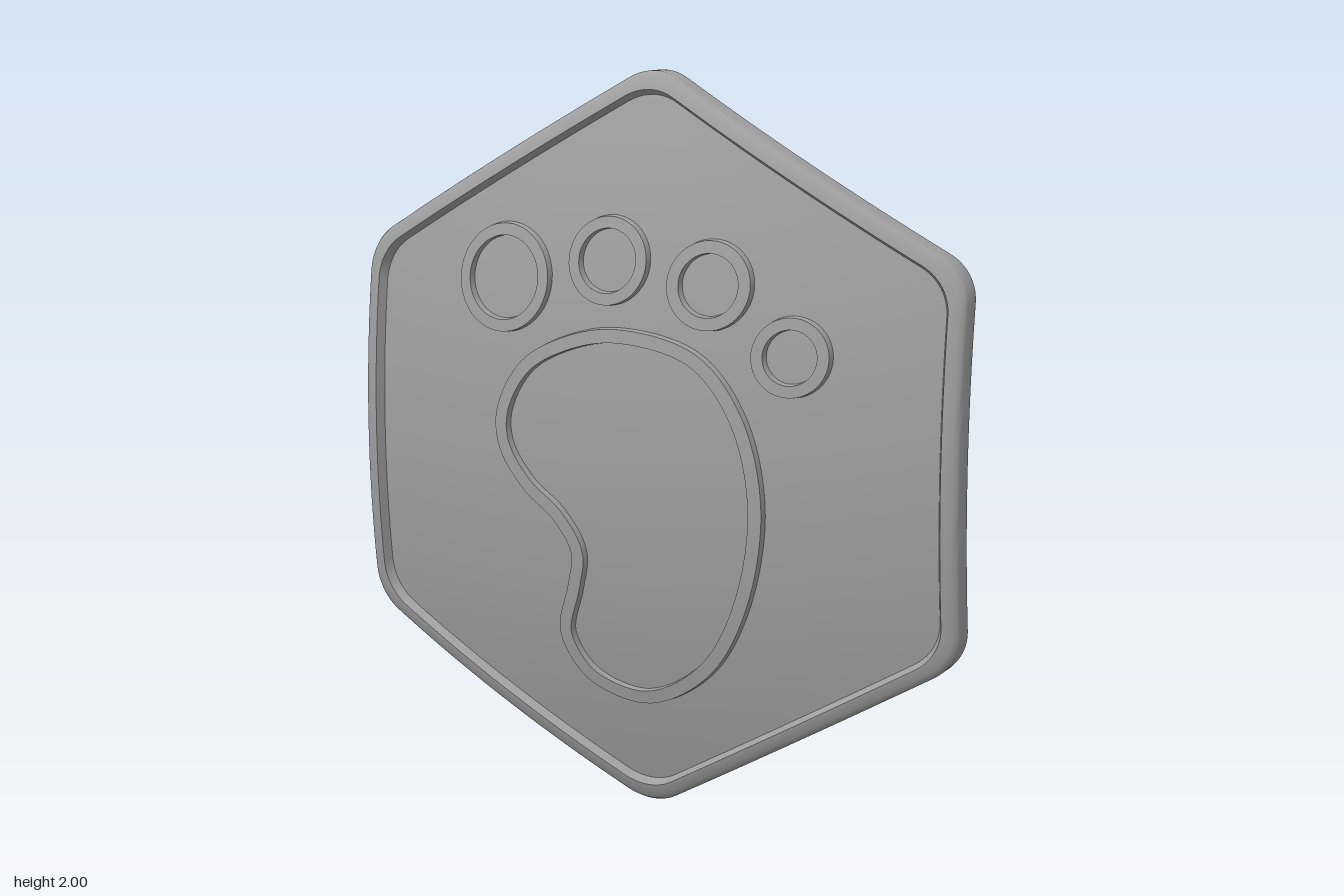
import * as THREE from 'three';
import { toCreasedNormals } from 'three/addons/utils/BufferGeometryUtils.js';

const CY = 1;        // height of the plate centre
const CURVE = 0.17;  // how strongly the plate is domed
const BACK = 0.06, PANEL = 0.103, RIM = 0.133, RAISED = 0.125;

// Put a flat point on the dome; level is its z at the plate centre
const onDome = (p, level) => [p.x, p.y + CY, level - CURVE * (p.x * p.x + p.y * p.y)];

// Rounded hexagon, counter-clockwise, scaled by s
function hexLoop(apothem, s = 1) {
  const pts = [], r = 0.14, arc = 10, side = 16;
  for (let k = 0; k < 6; k++) {
    const mid = Math.PI / 2 + k * Math.PI / 3;
    const d = (apothem - r) / Math.cos(Math.PI / 6);
    const corner = (i, a) => new THREE.Vector2(
      d * Math.cos(i) + r * Math.cos(a), d * Math.sin(i) + r * Math.sin(a));
    for (let j = 0; j < arc; j++) pts.push(corner(mid, mid - Math.PI / 6 + (j / arc) * Math.PI / 3));
    const end = mid + Math.PI / 6;
    const a = corner(mid, end), b = corner(mid + Math.PI / 3, end);
    for (let j = 0; j < side; j++) pts.push(a.clone().lerp(b, j / side));
  }
  return pts.map((p) => p.multiplyScalar(s));
}

// Skin a series of closed loops, each [points, level]
function skin(loops) {
  const pos = [], index = [], n = loops[0][0].length;
  loops.forEach(([pts, level]) => pts.forEach((p) => pos.push(...onDome(p, level))));
  for (let l = 0; l < loops.length - 1; l++) {
    for (let i = 0; i < n; i++) {
      const j = (i + 1) % n, a = l * n, b = a + n;
      index.push(a + i, a + j, b + i, a + j, b + j, b + i);
    }
  }
  const g = new THREE.BufferGeometry();
  g.setAttribute('position', new THREE.Float32BufferAttribute(pos, 3));
  g.setIndex(index);
  return toCreasedNormals(g, 0.5);
}

// Raised band following a closed counter-clockwise outline
function band(outer, width) {
  const n = outer.length;
  const inset = (w) => outer.map((p, i) => {
    const t = outer[(i + 1) % n].clone().sub(outer[(i + n - 1) % n]).normalize();
    return new THREE.Vector2(p.x - t.y * w, p.y + t.x * w);
  });
  const low = PANEL - 0.005;
  return skin([[outer, low], [inset(0.003), RAISED],
    [inset(width - 0.003), RAISED], [inset(width), low]]);
}

export function createModel() {
  const group = new THREE.Group();
  const grey = new THREE.MeshStandardMaterial({ color: 0xa0a0a0 });
  grey.name = 'grey';
  const add = (name, geometry) => {
    const mesh = new THREE.Mesh(geometry, grey);
    mesh.name = name;
    group.add(mesh);
  };

  // Domed hexagonal plate
  const steps = Array.from({ length: 13 }, (_, i) => i / 12);
  add('backPlate', skin(steps.map((s) => [hexLoop(0.885, s), BACK])));
  add('rim', skin([
    [hexLoop(0.885), BACK], [hexLoop(0.885), 0.118], [hexLoop(0.881), 0.126],
    [hexLoop(0.87), RIM], [hexLoop(0.843), RIM], [hexLoop(0.831), PANEL],
  ]));
  add('frontPanel', skin(steps.map((s) => [hexLoop(0.831, 1 - s), PANEL])));

  // Sole outline of the footprint
  const sole = [
    [-0.03, 1.333], [-0.2, 1.3], [-0.333, 1.222], [-0.407, 1.085], [-0.397, 0.98],
    [-0.32, 0.873], [-0.228, 0.8], [-0.175, 0.714], [-0.19, 0.624], [-0.228, 0.48],
    [-0.16, 0.355], [-0.016, 0.298], [0.09, 0.315], [0.238, 0.423], [0.344, 0.624],
    [0.386, 0.89], [0.33, 1.127], [0.2, 1.28],
  ].map(([x, y]) => new THREE.Vector3(x, y - CY, 0));
  const curve = new THREE.CatmullRomCurve3(sole, true, 'centripetal');
  const outline = curve.getSpacedPoints(140).slice(0, -1).map((p) => new THREE.Vector2(p.x, p.y));
  add('soleBand', band(outline, 0.042));

  // Toe rings: centre x, centre y, outer radius, inner radius
  [
    [-0.397, 1.444, 0.148, 0.11], [-0.074, 1.507, 0.119, 0.082],
    [0.22, 1.457, 0.119, 0.08], [0.45, 1.283, 0.106, 0.069],
  ].forEach(([x, y, R, r], i) => {
    const circle = Array.from({ length: 48 }, (_, k) => {
      const a = (k / 48) * Math.PI * 2;
      return new THREE.Vector2(x + R * Math.cos(a), y - CY + R * Math.sin(a));
    });
    add('toeRing' + (i + 1), band(circle, R - r));
  });
  return group;
}
